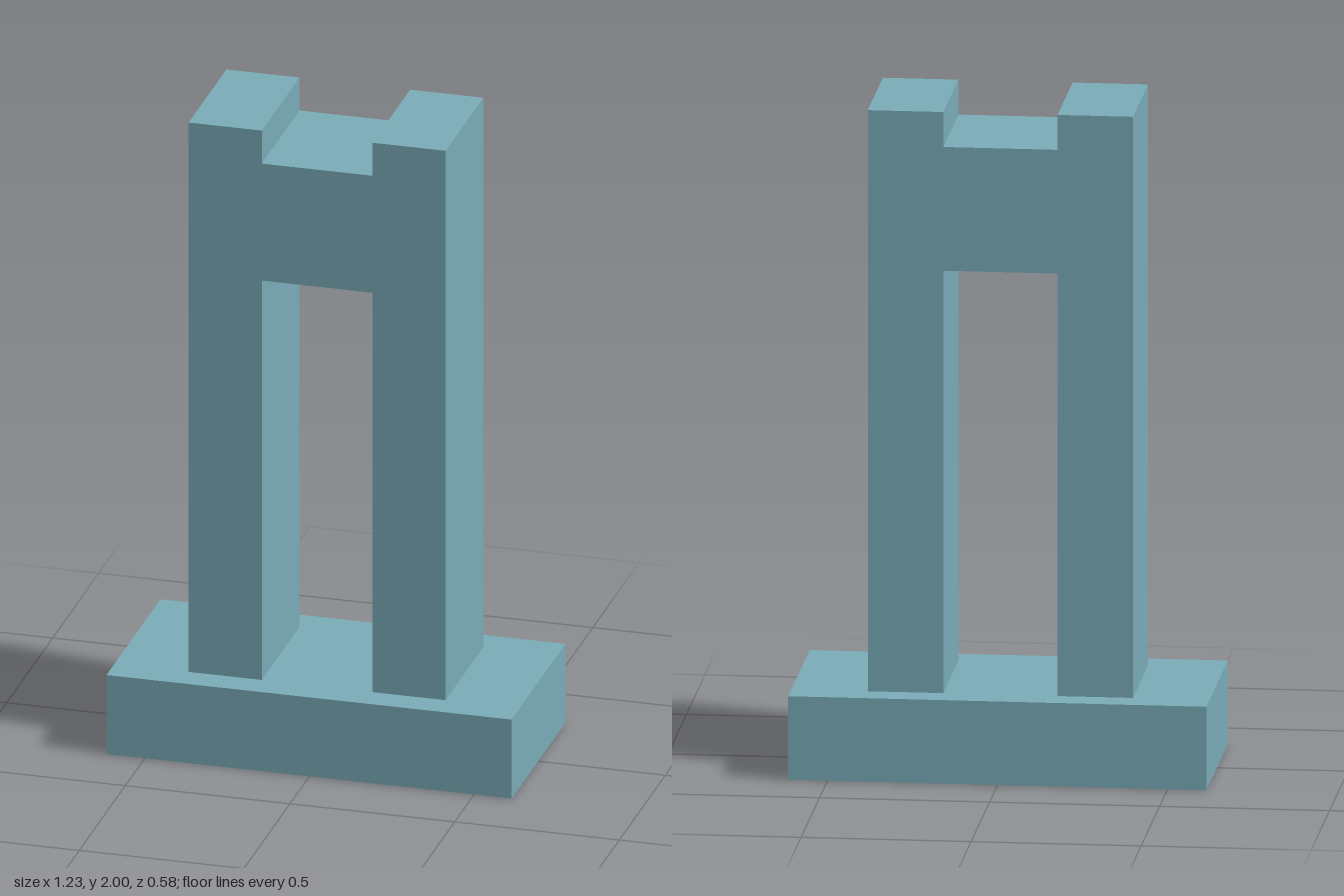
import * as THREE from 'three';

const stone = new THREE.MeshStandardMaterial({ color: 0x7aacb8, flatShading: true });
const tan = new THREE.MeshStandardMaterial({ color: 0xe6ccb0, flatShading: true });

// Closed rectangular outline between two corners
function rectangle(x0, y0, x1, y1) {
  return [[x0, y0], [x1, y0], [x1, y1], [x0, y1]].map(([x, y]) => new THREE.Vector2(x, y));
}

export function createModel() {
  const model = new THREE.Group();
  model.name = 'twinPillarMonument';

  // Plinth, a hair above the ground to leave room for the sheet beneath it
  const baseTop = 0.253, lift = 0.002;
  const base = new THREE.Mesh(new THREE.BoxGeometry(1.23, baseTop - lift, 0.585), stone);
  base.name = 'base';
  base.position.y = (baseTop + lift) / 2;
  model.add(base);

  // Two pillars joined by a bridge, cut as one H-shaped outline
  const outer = 0.39, inner = 0.168, top = 2;
  const bridgeBottom = 1.523, bridgeTop = 1.895, depth = 0.41;
  const half = [
    [inner, bridgeBottom], [inner, baseTop], [outer, baseTop],
    [outer, top], [inner, top], [inner, bridgeTop],
  ];
  const mirrored = half.map(([x, y]) => [-x, y]).reverse();
  const outline = new THREE.Shape([...half, ...mirrored].map(([x, y]) => new THREE.Vector2(x, y)));
  const geometry = new THREE.ExtrudeGeometry(outline, { depth, bevelEnabled: false });
  geometry.translate(0, 0, -depth / 2);
  const pillars = new THREE.Mesh(geometry, stone);
  pillars.name = 'pillarsAndBridge';
  model.add(pillars);

  // Tan sheet under the plinth, open where the pillar feet come through
  const sheet = new THREE.Shape(rectangle(-0.505, -0.265, 0.505, 0.265));
  for (const [x0, x1] of [[-outer, -inner], [inner, outer]]) {
    sheet.holes.push(new THREE.Path(rectangle(x0, -depth / 2, x1, depth / 2)));
  }
  const underside = new THREE.Mesh(new THREE.ShapeGeometry(sheet), tan);
  underside.name = 'undersideSheet';
  underside.rotation.x = Math.PI / 2;
  model.add(underside);

  return model;
}
